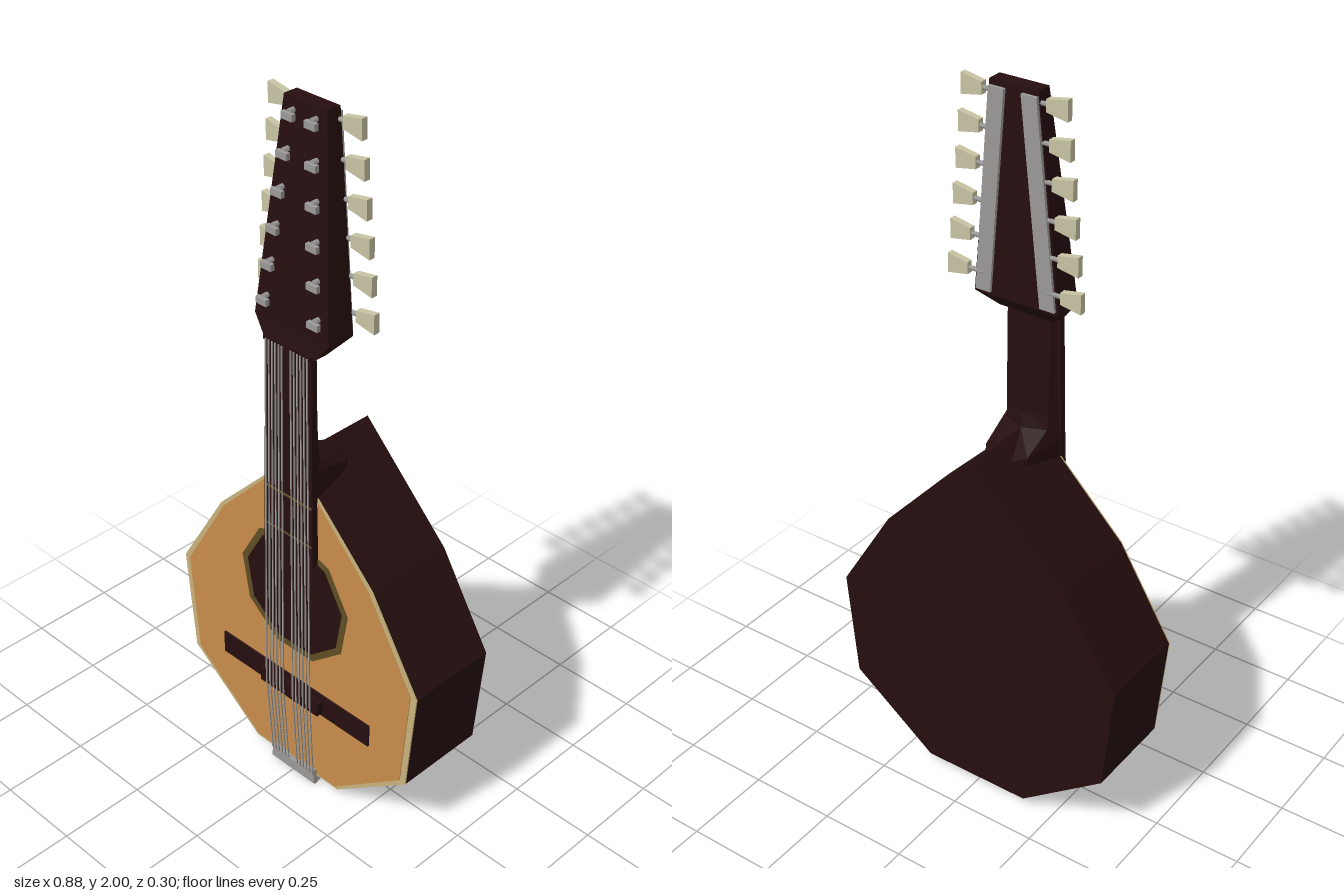
import * as THREE from 'three';

const material = (name, color, side = THREE.FrontSide) => {
  const m = new THREE.MeshStandardMaterial({ color, side });
  m.name = name;
  return m;
};

// Skin a list of rings [[x, y, z], ...] with flat facets and closed ends.
function loft(rings) {
  const n = rings[0].length, tris = [];
  for (let r = 0; r < rings.length - 1; r++) {
    for (let i = 0; i < n; i++) {
      const j = (i + 1) % n, a = rings[r], b = rings[r + 1];
      tris.push([a[i], b[i], b[j]], [a[i], b[j], a[j]]);
    }
  }
  const last = rings[rings.length - 1];
  for (let i = 1; i < n - 1; i++) {
    tris.push([rings[0][0], rings[0][i], rings[0][i + 1]], [last[0], last[i + 1], last[i]]);
  }
  // Turn the skin outward if its enclosed volume is negative
  const v = (p) => new THREE.Vector3(...p);
  const volume = tris.reduce((s, [a, b, c]) => s + v(a).dot(v(b).cross(v(c))), 0);
  if (volume < 0) tris.forEach((t) => t.reverse());
  const g = new THREE.BufferGeometry();
  g.setAttribute('position', new THREE.Float32BufferAttribute(tris.flat(2), 3));
  g.computeVertexNormals();
  return g;
}

// Rectangular cross-section at height y
const slab = (y, x0, x1, z0, z1) => [[x0, y, z0], [x1, y, z0], [x1, y, z1], [x0, y, z1]];

function plate(shape, z, depth) {
  const g = new THREE.ExtrudeGeometry(shape, { depth, bevelEnabled: false });
  return g.translate(0, 0, z);
}

export function createModel() {
  const model = new THREE.Group();
  const darkWood = material('dark wood', 0x260e0f);
  const spruce = material('golden soundboard', 0xc68c4a);
  const binding = material('pale binding', 0xc8b27c);
  const rosetteBrown = material('rosette brown', 0x5e4c24);
  const silver = material('silver metal', 0x9c9a98);
  const ivory = material('ivory buttons', 0xc8c4a4);

  const add = (name, geometry, mat, parent = model) => {
    const mesh = new THREE.Mesh(geometry, mat);
    mesh.name = name;
    parent.add(mesh);
    return mesh;
  };
  const box = (name, mat, w, h, d, x, y, z, parent) =>
    add(name, new THREE.BoxGeometry(w, h, d).translate(x, y, z), mat, parent);

  // Nine-sided pear outline
  const half = [[0.16, 0.02], [0.41, 0.21], [0.44, 0.52], [0.28, 0.78]];
  const outline = [...half, [0, 1.06], ...half.map(([x, y]) => [-x, y]).reverse()]
    .map(([x, y]) => new THREE.Vector2(x, y));
  const inner = outline.map((p) => new THREE.Vector2(p.x * 0.955, 0.52 + (p.y - 0.52) * 0.985));
  add('body', plate(new THREE.Shape(outline), -0.15, 0.266), darkWood);
  add('binding', plate(new THREE.Shape(outline), 0.116, 0.004), binding);
  add('soundboard', plate(new THREE.Shape(inner), 0.12, 0.002), spruce);

  // Sound hole and its ring
  const ninegon = (r) => Array.from({ length: 9 }, (_, i) => {
    const a = Math.PI / 2 + (i * Math.PI * 2) / 9;
    return new THREE.Vector2(r * Math.cos(a), 0.62 + r * Math.sin(a));
  });
  const ring = new THREE.Shape(ninegon(0.2));
  ring.holes.push(new THREE.Path(ninegon(0.18)));
  add('rosette', plate(ring, 0.122, 0.002), rosetteBrown);
  add('soundHole', plate(new THREE.Shape(ninegon(0.18)), 0.122, 0.001), darkWood);

  // Bridge with raised saddle
  box('bridge', darkWood, 0.56, 0.07, 0.008, 0, 0.3, 0.124);
  box('saddle', darkWood, 0.22, 0.04, 0.022, 0, 0.297, 0.138);

  // Neck: V-backed sections, flaring into the heel
  const neckRing = (y, w, front, back) => {
    const mid = front + (back - front) * 0.6;
    return [[-w, y, front], [w, y, front], [w * 0.75, y, mid], [0, y, back], [-w * 0.75, y, mid]];
  };
  add('neck', loft([
    neckRing(1.4, 0.078, 0.125, 0.088),
    neckRing(1.1, 0.084, 0.127, 0.07),
    neckRing(1.06, 0.085, 0.127, 0.06),
    neckRing(1.02, 0.086, 0.127, -0.09),
    neckRing(0.95, 0.086, 0.116, -0.1),
  ]), darkWood);
  add('fretboard', loft([
    slab(1.385, -0.08, 0.08, 0.115, 0.133),
    slab(0.77, -0.09, 0.09, 0.12, 0.142),
  ]), darkWood);
  for (const y of [0.83, 0.95]) box('fret', rosetteBrown, 0.172, 0.005, 0.004, 0, y, 0.141);
  box('nut', darkWood, 0.165, 0.014, 0.02, 0, 1.385, 0.128);

  // Headstock, thinning toward the top
  add('headstock', loft([
    slab(2, -0.07, 0.07, 0.027, 0.068),
    slab(1.43, -0.126, 0.126, 0.038, 0.122),
    slab(1.38, -0.084, 0.084, 0.086, 0.132),
  ]), darkWood);

  // Tuners: six on each side
  for (const side of [-1, 1]) {
    const tuners = new THREE.Group();
    tuners.name = side > 0 ? 'leftTuners' : 'rightTuners';
    model.add(tuners);
    const strip = (y, x, z) => slab(y, side * (x - 0.022), side * (x + 0.022), z, z + 0.012);
    add('tunerPlate', loft([strip(1.985, 0.046, 0.018), strip(1.44, 0.096, 0.03)]), silver, tuners);
    for (let i = 0; i < 6; i++) {
      const t = i / 5, y = 1.97 - 0.48 * t;
      const edge = 0.073 + 0.047 * t, x = 0.037 + 0.05 * t, face = 0.071 + 0.045 * t;
      const post = new THREE.CylinderGeometry(0.008, 0.008, 0.03, 6).rotateX(Math.PI / 2);
      add('post', post.translate(side * x, y, face), silver, tuners);
      box('postCap', silver, 0.036, 0.018, 0.012, side * x, y - 0.01, face + 0.017, tuners);
      const shaft = new THREE.CylinderGeometry(0.006, 0.006, 0.05, 6).rotateZ(Math.PI / 2);
      add('shaft', shaft.translate(side * edge, y, 0.033), silver, tuners);
      // Button widens outward
      const bx = edge + 0.018;
      const end = (px, h) => [[-h, -1], [h, -1], [h, 1], [-h, 1]]
        .map(([dy, dz]) => [side * px, y + dy, 0.033 + dz * 0.009]);
      add('button', loft([end(bx, 0.016), end(bx + 0.06, 0.027)]), ivory, tuners);
    }
  }

  // Tailpiece wrapping round the bottom edge
  const front = new THREE.Shape([
    [-0.085, 0], [0.085, 0], [0.08, 0.045], [0.03, 0.04], [0, 0.03], [-0.03, 0.04], [-0.08, 0.045],
  ].map((p) => new THREE.Vector2(...p)));
  add('tailpiece', plate(front, 0.123, 0.012), silver);
  add('tailpieceBase', loft([
    slab(0.02, -0.08, 0.08, 0.05, 0.125),
    [[-0.045, 0.012, 0.05], [0.045, 0.012, 0.05], [0.085, 0, 0.125], [-0.085, 0, 0.125]],
  ]), silver);

  // Twelve strings in two bands, running over the saddle to the tailpiece
  for (const side of [-1, 1]) {
    for (let i = 0; i < 6; i++) {
      const s = side * (0.018 + i * 0.0132);
      const section = (y, k, z) =>
        slab(y, s * k - 0.0017, s * k + 0.0017, z - 0.0017, z + 0.0017);
      add('string', loft([
        section(1.385, 0.85, 0.14), section(0.3, 1, 0.151), section(0.035, 0.95, 0.136),
      ]), silver);
    }
  }
  return model;
}
